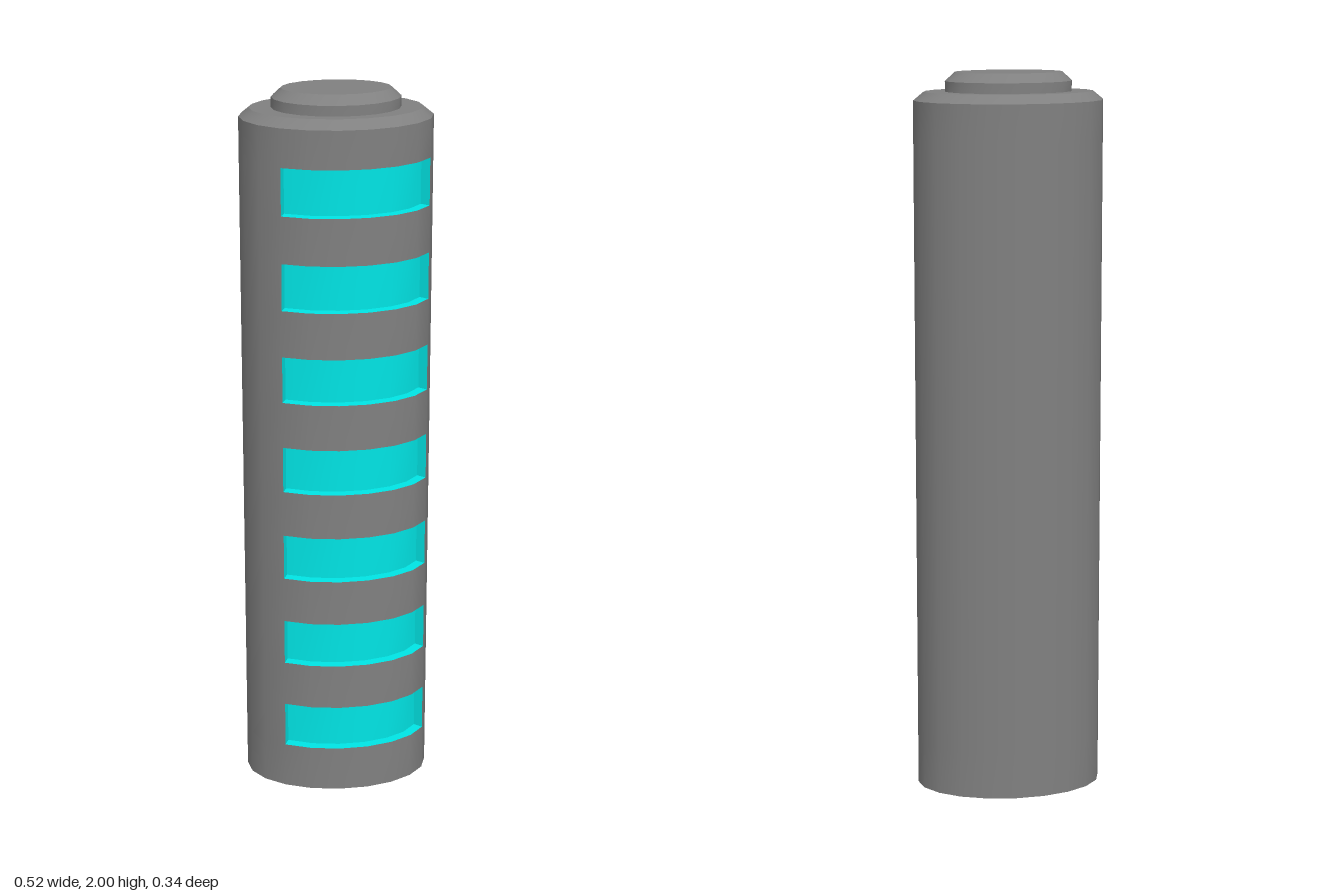
import * as THREE from 'three';
import { toCreasedNormals } from 'three/addons/utils/BufferGeometryUtils.js';

const SIDES = 20;
const BODY = [0.258, 0.17];
const CAP = [0.172, 0.113];
const FIRST = 1, LAST = 7; // facets spanned by the windows
const WINDOW = { count: 7, start: 0.13, height: 0.13, pitch: 0.26, depth: 0.028 };

// Point on an ellipse, moved inwards along the normal at step n
function point([a, b], i, y, inset = 0, n = i) {
  const step = (Math.PI * 2) / SIDES;
  const nx = Math.cos(n * step) / a, nz = Math.sin(n * step) / b;
  const move = inset / Math.hypot(nx, nz);
  return new THREE.Vector3(a * Math.cos(i * step) - nx * move, y, b * Math.sin(i * step) - nz * move);
}

function arc(size, y, inset = 0, from = 0, to = SIDES) {
  const points = [];
  for (let i = from; i <= to; i++) points.push(point(size, i % SIDES, y, inset));
  return points;
}

const centre = (y) => Array.from({ length: SIDES + 1 }, () => new THREE.Vector3(0, y, 0));

// Fill between a lower and an upper row of points
function strip(out, lower, upper) {
  for (let i = 0; i + 1 < lower.length; i++) {
    const [a, b, c, d] = [lower[i + 1], lower[i], upper[i], upper[i + 1]];
    if (!a.equals(b)) out.push(a, b, c);
    if (!c.equals(d)) out.push(a, c, d);
  }
}

function makeMesh(name, points, material) {
  const geometry = new THREE.BufferGeometry().setFromPoints(points);
  const mesh = new THREE.Mesh(toCreasedNormals(geometry, 0.6), material);
  mesh.name = name;
  return mesh;
}

export function createModel() {
  const model = new THREE.Group();
  model.name = 'column';
  const darkGrey = new THREE.MeshStandardMaterial({ color: 0x808080 });
  const cyan = new THREE.MeshStandardMaterial({ color: 0x00e5e5 });

  // Column shell, open at each window
  const shell = [];
  const levels = [0];
  for (let k = 0; k < WINDOW.count; k++) {
    const y = WINDOW.start + k * WINDOW.pitch;
    levels.push(y, y + WINDOW.height);
  }
  levels.push(1.925);
  for (let k = 0; k + 1 < levels.length; k++) {
    const [y0, y1] = [levels[k], levels[k + 1]];
    strip(shell, arc(BODY, y0, 0, LAST, SIDES + FIRST), arc(BODY, y1, 0, LAST, SIDES + FIRST));
    if (k % 2 === 0) strip(shell, arc(BODY, y0, 0, FIRST, LAST), arc(BODY, y1, 0, FIRST, LAST));
  }
  // Base, bevel and top
  strip(shell, centre(0), arc(BODY, 0));
  strip(shell, arc(BODY, 1.925), arc(BODY, 1.948, 0.028));
  strip(shell, arc(BODY, 1.948, 0.028), centre(1.948));
  model.add(makeMesh('columnBody', shell, darkGrey));

  // Bevelled cap
  const cap = [];
  strip(cap, arc(CAP, 1.948), arc(CAP, 1.976));
  strip(cap, arc(CAP, 1.976), arc(CAP, 2, 0.026));
  strip(cap, arc(CAP, 2, 0.026), centre(2));
  model.add(makeMesh('topCap', cap, darkGrey));

  // Recessed windows: back and side walls, sill and ceiling
  const outer = (y) => arc(BODY, y, 0, FIRST, LAST);
  const inner = (y) => [
    point(BODY, FIRST, y, WINDOW.depth, FIRST + 0.5), // ends follow their only facet
    ...arc(BODY, y, WINDOW.depth, FIRST + 1, LAST - 1),
    point(BODY, LAST, y, WINDOW.depth, LAST - 0.5),
  ];
  const wall = (y) => [point(BODY, FIRST, y), ...inner(y), point(BODY, LAST, y)];
  for (let k = 0; k < WINDOW.count; k++) {
    const y0 = WINDOW.start + k * WINDOW.pitch;
    const y1 = y0 + WINDOW.height;
    const pocket = [];
    strip(pocket, wall(y0), wall(y1));
    strip(pocket, outer(y0), inner(y0));
    strip(pocket, inner(y1), outer(y1));
    model.add(makeMesh(`window${k + 1}`, pocket, cyan));
  }
  return model;
}
